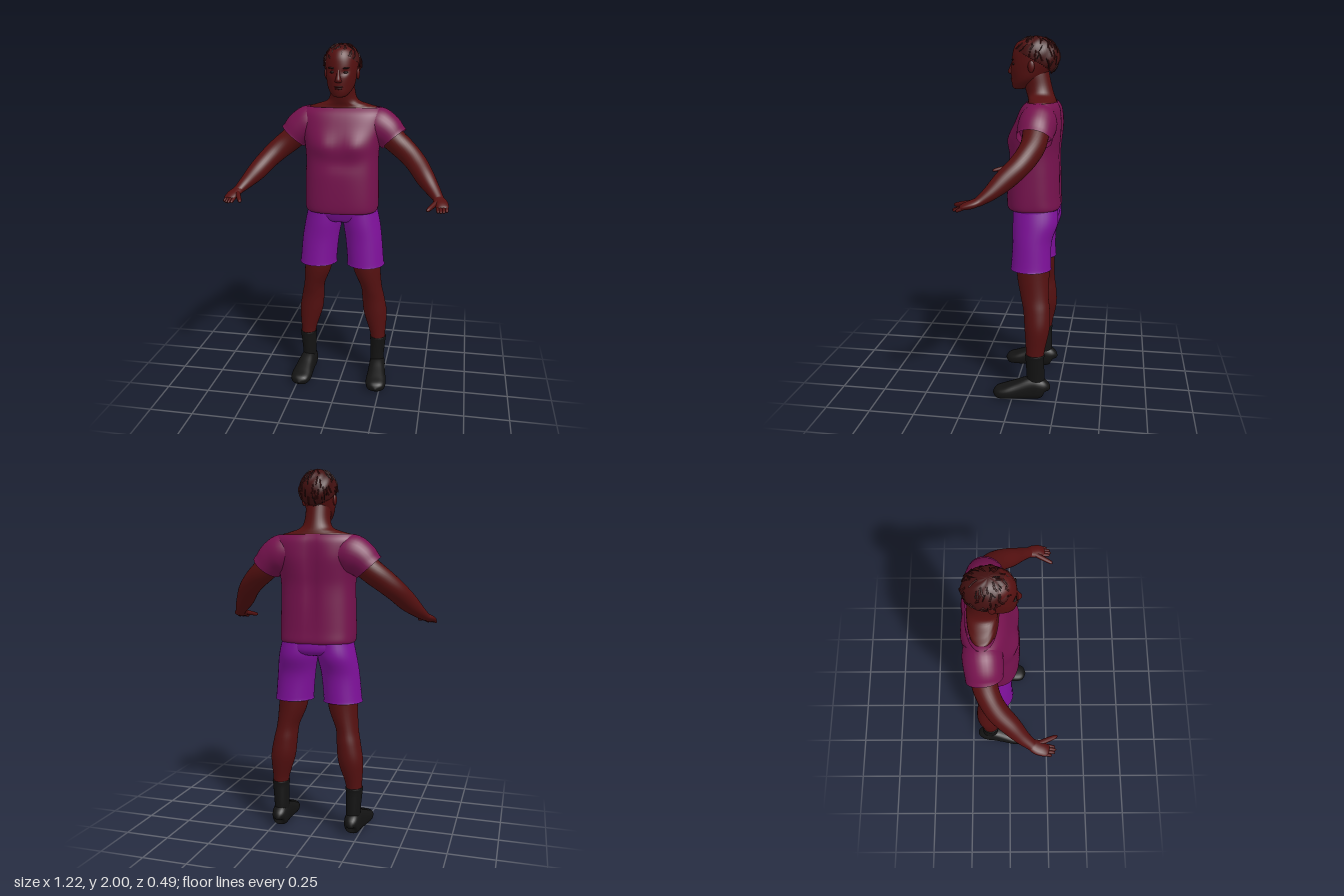
import * as THREE from 'three';
import { mergeVertices } from 'three/addons/utils/BufferGeometryUtils.js';

const mat = (name, color, side = THREE.FrontSide) => {
  const m = new THREE.MeshStandardMaterial({ color, side });
  m.name = name;
  return m;
};

// Smooth loft through rings [x, y, z, ra, rb, power]; upright rings lie flat, others follow the path.
function loft(rings, { upright = true, n = 32, sub = 5, shape } = {}) {
  const rows = [], last = rings.length - 1;
  for (let i = 0; i <= last * sub; i++) {
    const k = Math.min(Math.floor(i / sub), last - 1), t = i / sub - k;
    const at = (j, c) => rings[THREE.MathUtils.clamp(j, 0, last)][c] ?? 2;
    rows.push([0, 1, 2, 3, 4, 5].map((c) => {
      const a = at(k - 1, c), b = at(k, c), d = at(k + 1, c), e = at(k + 2, c);
      return b + 0.5 * t * (d - a + t * (2 * a - 5 * b + 4 * d - e + t * (3 * (b - d) + e - a)));
    }));
  }
  const pos = [], idx = [], up = new THREE.Vector3(0, 1, 0);
  const centre = (i) => new THREE.Vector3(...rows[THREE.MathUtils.clamp(i, 0, rows.length - 1)].slice(0, 3));
  rows.forEach((r, i) => {
    let A = new THREE.Vector3(1, 0, 0), B = new THREE.Vector3(0, 0, 1);
    if (!upright) {
      const T = centre(i + 1).sub(centre(i - 1)).normalize();
      B = T.clone().cross(up).normalize();
      A = T.clone().cross(B);
    }
    for (let j = 0; j < n; j++) {
      const w = (j / n) * Math.PI * 2, q = 2 / r[5];
      const f = (v) => Math.sign(v) * Math.abs(v) ** q;
      const p = centre(i)
        .addScaledVector(A, Math.max(r[3], 0.001) * f(Math.cos(w)))
        .addScaledVector(B, Math.max(r[4], 0.001) * f(Math.sin(w)));
      if (shape) shape(p, w);
      pos.push(p.x, p.y, p.z);
      if (i) {
        const a = (i - 1) * n + j, b = (i - 1) * n + ((j + 1) % n);
        idx.push(a, a + n, b, b, a + n, b + n);
      }
    }
  });
  const g = new THREE.BufferGeometry();
  g.setAttribute('position', new THREE.Float32BufferAttribute(pos, 3));
  g.setIndex(idx);
  g.computeVertexNormals();
  return g;
}

// Copy across x = 0 with the corner order reversed.
function mirror(geo) {
  const g = geo.clone().scale(-1, 1, 1), ix = g.index.array;
  for (let i = 0; i < ix.length; i += 3) [ix[i], ix[i + 1]] = [ix[i + 1], ix[i]];
  return g;
}

const blob = (x, y, z, rx, ry, rz, tilt = 0) =>
  new THREE.SphereGeometry(1, 20, 14).scale(rx, ry, rz).rotateZ(tilt).translate(x, y, z);
const bump = (x, y, cx, cy, sx, sy) => Math.exp(-(((x - cx) / sx) ** 2) - ((y - cy) / sy) ** 2);

export function createModel() {
  const model = new THREE.Group();
  model.name = 'standingMan';
  const skin = mat('skin', 0x541010);
  const shirt = mat('shirt', 0x76124e, THREE.DoubleSide);
  const shorts = mat('shorts', 0x7e109a, THREE.DoubleSide);
  const black = mat('footwear', 0x131313);
  const hair = mat('hair', 0x421010, THREE.DoubleSide);
  const dark = mat('darkHair', 0x1c0606);
  const lip = mat('lips', 0x400b0c);

  const add = (name, geo, m) => {
    const mesh = new THREE.Mesh(geo, m);
    mesh.name = name;
    model.add(mesh);
  };
  const pair = (name, geo, m) => {
    add(name + 'Left', geo, m);
    add(name + 'Right', mirror(geo), m);
  };

  // Shirt body with chest relief and a groove down the back
  add('shirtBody', loft([
    [0, 1.075, -0.095, 0.196, 0.138, 2.7], [0, 1.09, -0.095, 0.206, 0.148, 2.7],
    [0, 1.15, -0.092, 0.208, 0.148, 2.6], [0, 1.27, -0.092, 0.206, 0.145, 2.5],
    [0, 1.38, -0.095, 0.204, 0.139, 2.5], [0, 1.46, -0.1, 0.212, 0.138, 2.5],
    [0, 1.55, -0.115, 0.23, 0.124, 2.5], [0, 1.62, -0.127, 0.234, 0.107, 2.4],
    [0, 1.655, -0.133, 0.212, 0.082, 2.2],
  ], {
    n: 64, shape: (p) => {
      const x = Math.abs(p.x);
      if (p.z > -0.05) p.z += 0.014 * bump(x, p.y, 0.09, 1.46, 0.06, 0.06) - 0.008 * bump(x, p.y, 0, 1.36, 0.1, 0.04);
      if (p.z < -0.16) p.z += 0.012 * bump(x, p.y, 0, 1.4, 0.03, 0.25) - 0.008 * bump(x, p.y, 0.1, 1.53, 0.06, 0.08);
    },
  }), shirt);
  pair('sleeve', loft([
    [0.13, 1.555, -0.133, 0.09, 0.09], [0.19, 1.55, -0.132, 0.108, 0.1],
    [0.24, 1.527, -0.128, 0.098, 0.098], [0.275, 1.495, -0.125, 0.086, 0.094],
    [0.287, 1.482, -0.123, 0.085, 0.094],
  ], { upright: false }), shirt);

  // Shoulders and neck
  add('neckAndShoulders', loft([
    [0, 1.56, -0.13, 0.17, 0.08], [0, 1.645, -0.132, 0.198, 0.076], [0, 1.668, -0.13, 0.15, 0.074],
    [0, 1.69, -0.122, 0.09, 0.074], [0, 1.73, -0.11, 0.07, 0.074], [0, 1.8, -0.092, 0.066, 0.076],
    [0, 1.85, -0.09, 0.06, 0.07],
  ]), skin);

  // Arms
  pair('arm', loft([
    [0.2, 1.55, -0.128, 0.07, 0.07], [0.3, 1.465, -0.125, 0.066, 0.066],
    [0.37, 1.408, -0.1, 0.062, 0.06], [0.425, 1.355, -0.058, 0.057, 0.058],
    [0.475, 1.295, 0.005, 0.052, 0.052], [0.52, 1.245, 0.06, 0.037, 0.04],
    [0.55, 1.213, 0.105, 0.025, 0.031], [0.558, 1.205, 0.12, 0.022, 0.031],
  ], { upright: false }), skin);
  pair('palm', loft([
    [0.55, 1.213, 0.105, 0.02, 0.029], [0.563, 1.2, 0.135, 0.021, 0.038],
    [0.574, 1.19, 0.17, 0.018, 0.036], [0.58, 1.183, 0.195, 0.01, 0.027], [0.581, 1.182, 0.2, 0.001, 0.001],
  ], { upright: false, n: 20 }), skin);
  const digit = (name, a, b, r) => {
    const at = (t, s) => [0, 1, 2].map((k) => a[k] + (b[k] - a[k]) * t).concat(r * s, r * s);
    pair(name, loft([at(0, 1.1), at(0.5, 1), at(0.9, 0.75), at(1, 0.05)], { upright: false, n: 10, sub: 3 }), skin);
  };
  for (let i = 0; i < 4; i++)
    digit('finger' + (i + 1), [0.551 + i * 0.015, 1.188, 0.17], [0.557 + i * 0.015, 1.168, 0.238 - 0.006 * (i - 1) ** 2], 0.0095);
  digit('thumb', [0.548, 1.203, 0.14], [0.5, 1.178, 0.246], 0.013);

  // Shorts
  add('shortsSeat', loft([
    [0, 1.0, -0.11, 0.03, 0.03], [0, 1.015, -0.112, 0.15, 0.1], [0, 1.045, -0.113, 0.2, 0.122, 2.4],
    [0, 1.11, -0.1, 0.196, 0.13, 2.4],
  ], { n: 48 }), shorts);
  pair('shortsLeg', loft([
    [0.14, 0.75, -0.092, 0.11, 0.113], [0.139, 0.77, -0.092, 0.106, 0.11], [0.127, 0.9, -0.096, 0.106, 0.108],
    [0.111, 1.0, -0.11, 0.107, 0.124], [0.1, 1.08, -0.11, 0.1, 0.122],
  ]), shorts);

  // Legs, socks and shoes
  pair('leg', loft([
    [0.216, 0.24, -0.126, 0.042, 0.048], [0.213, 0.3, -0.128, 0.047, 0.053], [0.197, 0.42, -0.135, 0.069, 0.07],
    [0.184, 0.52, -0.13, 0.066, 0.074], [0.172, 0.6, -0.117, 0.062, 0.078], [0.145, 0.72, -0.105, 0.08, 0.09],
    [0.13, 0.9, -0.105, 0.085, 0.095],
  ]), skin);
  pair('sock', loft([
    [0.212, 0.06, -0.13, 0.04, 0.048], [0.212, 0.14, -0.13, 0.041, 0.05], [0.216, 0.24, -0.126, 0.046, 0.052],
    [0.216, 0.268, -0.126, 0.049, 0.054], [0.216, 0.27, -0.126, 0.04, 0.045],
  ]), black);
  pair('shoe', loft([
    [0.212, 0.05, -0.192, 0.002, 0.002], [0.212, 0.06, -0.186, 0.042, 0.034, 2.4], [0.213, 0.067, -0.15, 0.062, 0.046, 2.5],
    [0.216, 0.068, -0.1, 0.064, 0.048, 2.5], [0.222, 0.055, -0.03, 0.051, 0.054, 2.5],
    [0.227, 0.042, 0.04, 0.038, 0.06, 2.5], [0.23, 0.034, 0.09, 0.028, 0.046, 2.4], [0.231, 0.03, 0.112, 0.002, 0.002],
  ], { upright: false, shape: (p) => { p.y = Math.max(p.y, 0); } }), black);

  // Head with eye hollows
  add('head', loft([
    [0, 1.718, -0.005, 0.002, 0.002], [0, 1.722, -0.005, 0.03, 0.03], [0, 1.742, -0.02, 0.053, 0.054],
    [0, 1.775, -0.05, 0.072, 0.088], [0, 1.82, -0.065, 0.08, 0.104, 2.2], [0, 1.87, -0.077, 0.086, 0.112, 2.2],
    [0, 1.93, -0.085, 0.086, 0.11], [0, 1.972, -0.09, 0.06, 0.08], [0, 1.985, -0.09, 0.002, 0.002],
  ], {
    n: 64, shape: (p) => {
      if (p.z > -0.03) p.z -= 0.01 * bump(Math.abs(p.x), p.y, 0.035, 1.852, 0.018, 0.013);
    },
  }), skin);
  add('nose', loft([
    [0, 1.796, 0.03, 0.004, 0.004], [0, 1.802, 0.032, 0.019, 0.02], [0, 1.815, 0.036, 0.016, 0.021],
    [0, 1.84, 0.03, 0.01, 0.016], [0, 1.87, 0.024, 0.009, 0.01],
  ], { n: 16 }), skin);
  add('upperLip', blob(0, 1.776, 0.034, 0.025, 0.005, 0.008), lip);
  add('lowerLip', blob(0, 1.767, 0.032, 0.021, 0.006, 0.009), lip);
  pair('eye', blob(0.035, 1.851, 0.021, 0.014, 0.006, 0.006), dark);
  pair('eyebrow', blob(0.037, 1.873, 0.026, 0.021, 0.004, 0.006, 0.08), dark);
  pair('ear', blob(0.087, 1.838, -0.08, 0.01, 0.031, 0.018), skin);

  // Hair cap: a dome whose edge is high over the forehead and low at the nape
  const onDome = (phi, s, lift = 0) => {
    const front = Math.cos(phi);
    const theta = s * (1.72 - 0.58 * front + 0.14 * front * front * (front < 0 ? 1 : 0));
    const k = 1 + lift + 0.02 * Math.sin(9 * phi + 7 * theta) * Math.sin(theta);
    return new THREE.Vector3(
      0.101 * k * Math.sin(theta) * Math.sin(phi),
      1.885 + 0.112 * k * Math.cos(theta),
      -0.095 + 0.125 * k * Math.sin(theta) * front);
  };
  let dome = new THREE.SphereGeometry(1, 64, 28);
  const uv = dome.attributes.uv, dp = dome.attributes.position;
  for (let i = 0; i < dp.count; i++) {
    const p = onDome(uv.getX(i) * Math.PI * 2 - Math.PI / 2, 1 - uv.getY(i));
    dp.setXYZ(i, p.x, p.y, p.z);
  }
  dome.deleteAttribute('uv');
  dome.deleteAttribute('normal');
  dome = mergeVertices(dome, 1e-5);
  dome.computeVertexNormals();
  // Corner order follows the direction phi runs round the head
  const c = dome.attributes.normal;
  let out = 0;
  for (let i = 0; i < c.count; i++) out += c.getX(i) * dome.attributes.position.getX(i);
  add('hairCap', out < 0 ? mirror(dome) : dome, hair);

  // Short locks combed over the cap
  let seed = 7;
  const rnd = () => (seed = (seed * 16807) % 2147483647) / 2147483647;
  const locks = new THREE.Group();
  locks.name = 'hairLocks';
  for (let i = 0; i < 90; i++) {
    const phi = i * 2.4, s = 0.15 + 0.7 * rnd(), turn = 0.5 * (rnd() - 0.5);
    const pts = [0, 1, 2, 3].map((k) => onDome(phi + (turn * k) / 3, s + 0.06 * k, 0.01));
    const lock = new THREE.Mesh(
      new THREE.TubeGeometry(new THREE.CatmullRomCurve3(pts), 6, i % 3 ? 0.004 : 0.0022, 5), i % 3 ? hair : dark);
    lock.name = 'hairLock';
    locks.add(lock);
  }
  model.add(locks);
  return model;
}
